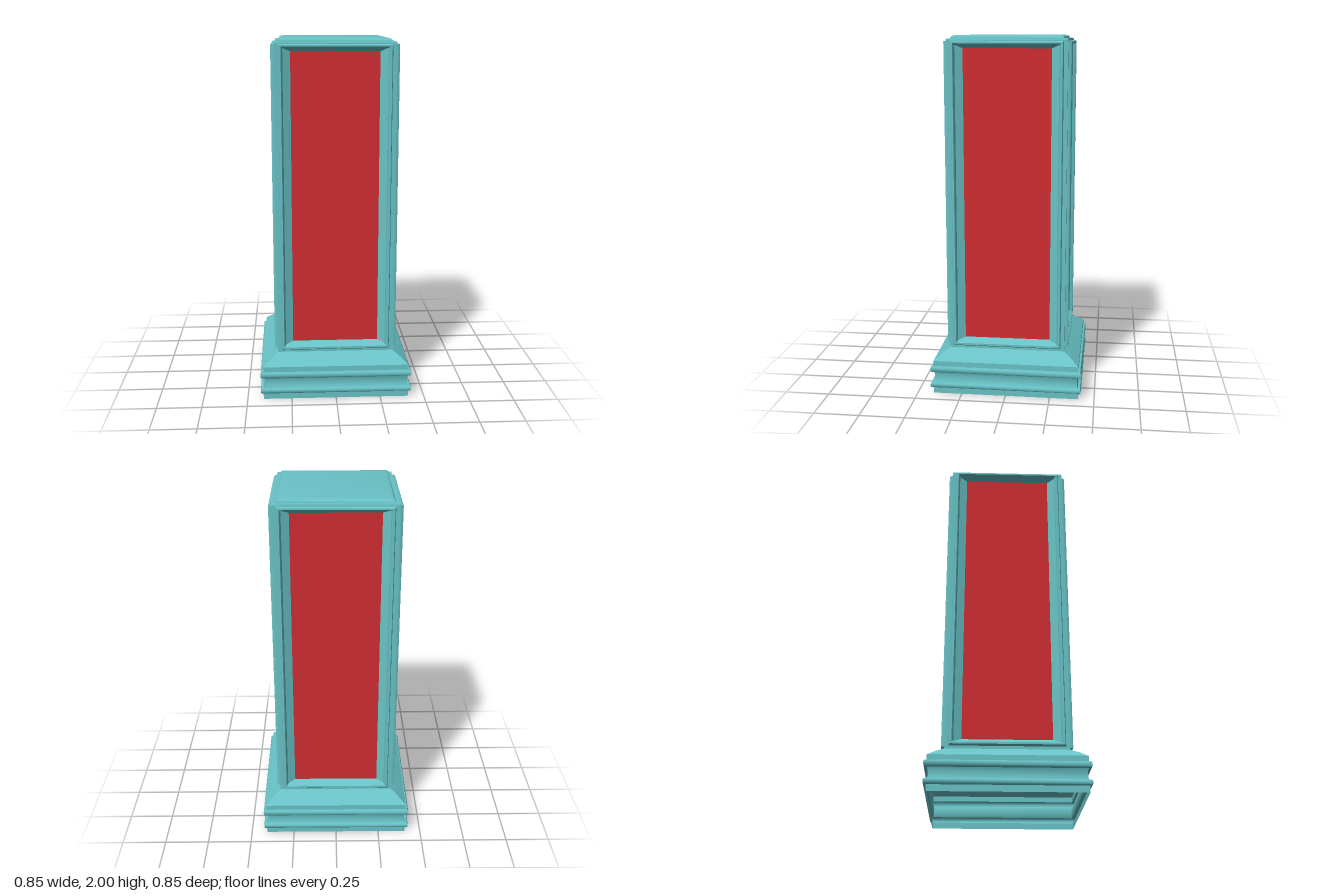
import * as THREE from 'three';
import { toCreasedNormals } from 'three/addons/utils/BufferGeometryUtils.js';

const teal = new THREE.MeshStandardMaterial({ color: 0x68c2c6, side: THREE.DoubleSide });
const red = new THREE.MeshStandardMaterial({ color: 0xd02d32, side: THREE.DoubleSide });

function mesh(geometry, material, name) {
  const m = new THREE.Mesh(geometry, material);
  m.name = name;
  return m;
}

// Square moulding swept from a profile of [half width, height], bottom to top
function squareLathe(profile) {
  const points = profile.map(([w, y]) => new THREE.Vector2(w * Math.SQRT2, y));
  return toCreasedNormals(new THREE.LatheGeometry(points, 4, Math.PI / 4), 0.7);
}

// Rectangular frame joined through rings of [half width, bottom, top, z], outside to inside
function frameGeometry(rings) {
  const positions = [];
  const index = [];
  for (const [w, lo, hi, z] of rings) {
    positions.push(-w, lo, z, w, lo, z, w, hi, z, -w, hi, z);
  }
  for (let i = 0; i < rings.length - 1; i++) {
    for (let j = 0; j < 4; j++) {
      const a = i * 4 + j;
      const b = i * 4 + (j + 1) % 4;
      index.push(a, b, b + 4, a, b + 4, a + 4);
    }
  }
  const g = new THREE.BufferGeometry();
  g.setAttribute('position', new THREE.Float32BufferAttribute(positions, 3));
  g.setIndex(index);
  return toCreasedNormals(g, 0.7);
}

export function createModel() {
  const model = new THREE.Group();
  model.name = 'pedestal';

  // Hollow plinth with two beads and a sloping shoulder, open underneath
  model.add(mesh(squareLathe([
    [0.41, 0], [0.41, 0.035],
    [0.42, 0.037], [0.425, 0.044], [0.425, 0.057], [0.42, 0.064],
    [0.408, 0.066], [0.403, 0.08], [0.403, 0.112], [0.408, 0.126],
    [0.42, 0.128], [0.425, 0.135], [0.425, 0.152], [0.42, 0.159],
    [0.41, 0.161], [0.41, 0.19], [0.37, 0.22], [0.327, 0.248],
  ]), teal, 'plinth'));

  // Top slab with a raised, softened edge
  model.add(mesh(squareLathe([
    [0.327, 1.975], [0.325, 1.982], [0.305, 1.983], [0.304, 1.99],
    [0.297, 1.997], [0.28, 2], [0, 2],
  ]), teal, 'cap'));

  // Four identical sides: raised moulding, bevelled recess and coloured panel
  const frame = frameGeometry([
    [0.327, 0.248, 1.975, 0.327],
    [0.305, 0.264, 1.97, 0.327],
    [0.304, 0.265, 1.969, 0.339],
    [0.3, 0.27, 1.965, 0.345],
    [0.29, 0.281, 1.957, 0.345],
    [0.285, 0.286, 1.952, 0.339],
    [0.281, 0.289, 1.949, 0.325],
    [0.24, 0.306, 1.931, 0.305],
  ]);
  const panel = new THREE.PlaneGeometry(0.48, 1.625).translate(0, 1.1185, 0.305);
  ['front', 'left', 'back', 'right'].forEach((name, i) => {
    const side = new THREE.Group();
    side.name = name + 'Side';
    side.add(mesh(frame, teal, 'frame'), mesh(panel, red, 'panel'));
    side.rotation.y = i * Math.PI / 2;
    model.add(side);
  });

  return model;
}
